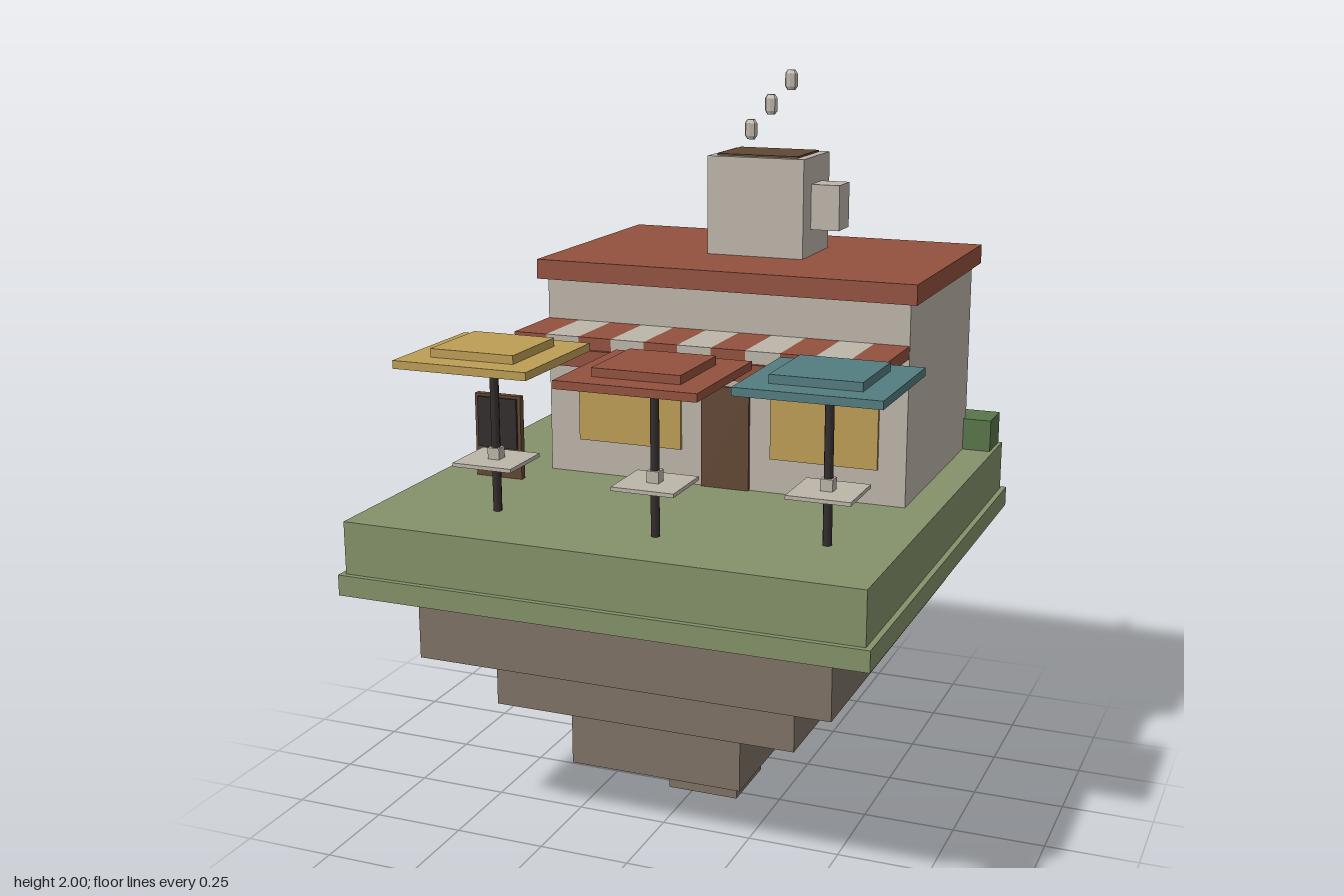
import * as THREE from 'three';

const mat = (name, color) => {
  const m = new THREE.MeshStandardMaterial({ color });
  m.name = name;
  return m;
};

export function createModel() {
  const root = new THREE.Group();
  root.name = 'floatingCafe';

  const grass = mat('grass green', 0x84926a);
  const dirt = mat('earth brown', 0x7f7265);
  const wall = mat('warm grey', 0xbcb5a9);
  const red = mat('brick red', 0x93513e);
  const gold = mat('gold', 0xbd9e54);
  const teal = mat('teal', 0x537c80);
  const wood = mat('dark wood', 0x624834);
  const black = mat('charcoal', 0x322d2c);
  const leaf = mat('leaf green', 0x587649);

  // Box given by its extents on each axis
  const box = (name, m, [x0, x1], [y0, y1], [z0, z1], parent = root) => {
    const mesh = new THREE.Mesh(new THREE.BoxGeometry(x1 - x0, y1 - y0, z1 - z0), m);
    mesh.position.set((x0 + x1) / 2, (y0 + y1) / 2, (z0 + z1) / 2);
    mesh.name = name;
    parent.add(mesh);
    return mesh;
  };
  const around = (c, size) => [c - size / 2, c + size / 2];

  // Island: grass slabs over stepped earth
  const G = 0.915;
  box('grassTop', grass, [-0.69, 0.69], [0.775, G], [-0.69, 0.69]);
  box('grassRim', grass, [-0.705, 0.705], [0.72, 0.775], [-0.705, 0.705]);
  box('earthTier', dirt, [-0.55, 0.575], [0.525, 0.72], [-0.53, 0.575]);
  box('earthTier', dirt, [-0.41, 0.43], [0.355, 0.525], [-0.445, 0.42]);
  box('earthTier', dirt, [-0.275, 0.22], [0.13, 0.355], [-0.215, 0.245]);
  box('earthTip', dirt, [-0.07, 0.135], [0, 0.13], [-0.165, 0.04]);

  // Building
  box('walls', wall, [-0.415, 0.6], [G, 1.455], [-0.6, 0.05]);
  box('roof', red, [-0.44, 0.62], [1.452, 1.505], [-0.625, 0.068]);
  box('window', gold, [-0.325, -0.025], [1.01, 1.265], [0.05, 0.059]);
  box('window', gold, [0.23, 0.525], [1.01, 1.265], [0.05, 0.059]);
  box('door', wood, [0.035, 0.17], [G, 1.195], [0.05, 0.059]);

  // Chimney cup with handle and drink surface
  box('chimney', wall, [-0.045, 0.23], [1.505, 1.773], [-0.415, -0.19]);
  box('chimneyTop', wood, [-0.025, 0.205], [1.77, 1.778], [-0.395, -0.21]);
  box('chimneyHandle', wall, [0.23, 0.31], [1.577, 1.7], [-0.347, -0.257]);

  // Striped awning with front valance
  const awning = new THREE.Group();
  awning.name = 'awning';
  root.add(awning);
  const stripe = 1.016 / 11;
  for (let i = 0; i < 11; i++) {
    const x = -0.417 + i * stripe;
    box('awningStripe', i % 2 ? wall : red, [x, x + stripe], [1.31, 1.343], [0.05, 0.252], awning);
  }
  box('awningValance', red, [-0.417, 0.599], [1.265, 1.31], [0.243, 0.263], awning);

  // Menu board
  box('menuBoard', wood, [-0.58, -0.443], [G, 1.147], [0.163, 0.183]);
  box('menuPanel', black, [-0.569, -0.452], [1.0, 1.14], [0.183, 0.191]);

  // Parasol tables
  const parasol = (x, z, m) => {
    const g = new THREE.Group();
    g.name = 'parasolTable';
    g.position.set(x, 0, z);
    root.add(g);
    const pole = new THREE.Mesh(new THREE.CylinderGeometry(0.012, 0.012, 1.32 - G, 8), black);
    pole.geometry.translate(0, (1.32 + G) / 2, 0);
    pole.name = 'pole';
    g.add(pole);
    const square = (name, mt, s, y) => box(name, mt, around(0, s), y, around(0, s), g);
    square('canopy', m, 0.367, [1.313, 1.334]);
    square('canopyTop', m, 0.23, [1.334, 1.356]);
    square('tableTop', wall, 0.165, [1.045, 1.055]);
    square('tableHub', wall, 0.032, [1.055, 1.085]);
  };
  parasol(-0.372, 0.458, gold);
  parasol(0.09, 0.505, red);
  parasol(0.506, 0.415, teal);

  // Shrub
  box('shrub', leaf, [0.566, 0.68], [G, 1.006], [-0.686, -0.572]);

  // Steam puffs: small bevelled barrels
  const profile = [[0, -0.027], [0.011, -0.027], [0.018, -0.017], [0.018, 0.017], [0.011, 0.027], [0, 0.027]]
    .map(([r, y]) => new THREE.Vector2(r, y));
  const puffGeo = new THREE.LatheGeometry(profile, 8).scale(1, 1, 0.65).toNonIndexed();
  puffGeo.computeVertexNormals();
  for (const [x, y] of [[0.039, 1.837], [0.097, 1.906], [0.154, 1.973]]) {
    const puff = new THREE.Mesh(puffGeo, wall);
    puff.name = 'steamPuff';
    puff.position.set(x, y, -0.302);
    root.add(puff);
  }

  return root;
}
